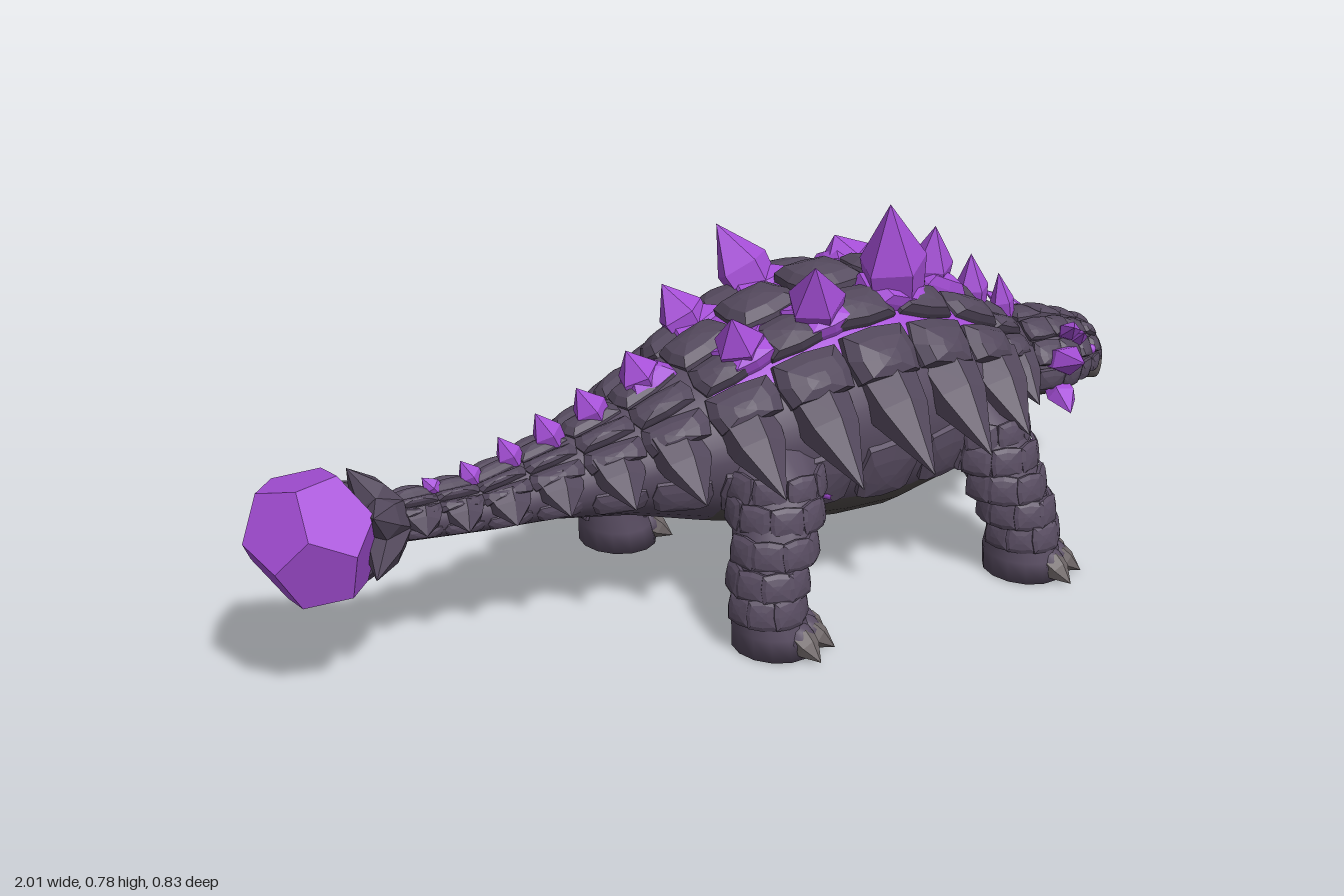
import * as THREE from 'three';

const mat = (name, color) => Object.assign(new THREE.MeshStandardMaterial({ color }), { name });
const V = (x, y, z) => new THREE.Vector3(x, y, z);

// cross-sections along x: [x, bottom, widest height, top, half width]
const BODY = [
  [-0.82, .28, .32, .36, .04], [-0.7, .265, .31, .35, .045], [-0.55, .25, .3, .35, .06],
  [-0.4, .24, .31, .385, .085], [-0.25, .215, .33, .43, .135], [-0.1, .17, .35, .5, .195],
  [.05, .13, .37, .565, .24], [.2, .112, .38, .605, .262], [.32, .106, .38, .61, .262],
  [.45, .13, .37, .57, .24], [.56, .17, .35, .52, .2], [.65, .21, .34, .46, .14], [.75, .24, .335, .42, .09]];
const HEAD = [
  [.7, .26, .33, .42, .085], [.76, .245, .33, .43, .115], [.82, .24, .325, .425, .115],
  [.88, .243, .32, .405, .09], [.93, .25, .315, .383, .063], [.965, .262, .31, .358, .044], [.984, .272, .3, .335, .028]];
const BEAK = [
  [.93, .25, .3, .34, .05], [.955, .243, .3, .352, .04], [.975, .238, .295, .347, .031],
  [.99, .235, .285, .33, .022], [1, .25, .28, .308, .008]];

// point on a lofted surface; t is 0 on the ridge and PI under the belly
function surf(S, x, t) {
  let i = 0;
  while (i < S.length - 2 && S[i + 1][0] < x) i++;
  const k = (x - S[i][0]) / (S[i + 1][0] - S[i][0]);
  const [, b, m, top, w] = S[i].map((v, j) => v + (S[i + 1][j] - v) * k);
  const c = Math.cos(t), slope = c > 0 ? 1 - .08 * Math.sin(2 * t) ** 2 : 1;
  return V(x, m + (c > 0 ? top - m : m - b) * c, w * Math.sin(t) * slope);
}

// skin rings of points; pick(i, j) gives the material index of each face
function loft(rings, pick = () => 0) {
  const n = rings[0].length, pos = [], sets = [[], [], []];
  rings.forEach(r => r.forEach(p => pos.push(p.x, p.y, p.z)));
  for (let i = 0; i < rings.length - 1; i++) for (let j = 0; j < n; j++) {
    const a = i * n + j, b = i * n + (j + 1) % n;
    sets[pick(i, j)].push(a, b, a + n, b, b + n, a + n);
  }
  for (const [i, flip] of [[0, true], [rings.length - 1, false]]) {
    const c = rings[i].reduce((s, p) => s.add(p), V(0, 0, 0)).divideScalar(n);
    const ci = pos.push(c.x, c.y, c.z) / 3 - 1;
    for (let j = 0; j < n; j++) {
      const a = i * n + j, b = i * n + (j + 1) % n;
      sets[0].push(...(flip ? [ci, b, a] : [ci, a, b]));
    }
  }
  const g = new THREE.BufferGeometry();
  g.setAttribute('position', new THREE.Float32BufferAttribute(pos, 3));
  g.setIndex(sets.flat());
  let start = 0;
  sets.forEach((s, k) => { if (s.length) g.addGroup(start, s.length, k); start += s.length; });
  g.computeVertexNormals();
  return g;
}

function flat(g) {
  const f = g.index ? g.toNonIndexed() : g;
  f.computeVertexNormals();
  return f;
}

const lathe = (pts, n) => new THREE.LatheGeometry(pts.map(p => new THREE.Vector2(...p)), n);

// squarish domed plate whose peak leans sideways
function plateGeometry(lean) {
  const g = lathe([[1, -.6], [1, .15], [.72, .72], [.3, 1], [0, 1.08]], 8);
  const p = g.attributes.position;
  for (let i = 0; i < p.count; i++) {
    const x = p.getX(i), y = p.getY(i), z = p.getZ(i);
    const r = Math.hypot(x, z), q = r / (Math.max(Math.abs(x), Math.abs(z)) || 1);
    const s = 1 + (q - 1) * .6;
    p.setXYZ(i, x * s - Math.max(y, 0) * .12, y, z * s + lean * Math.max(y, 0) * .42);
  }
  return flat(g);
}

export function createModel() {
  const root = new THREE.Group();
  const skin = mat('dusk hide', 0x594d62);
  const armor = mat('armor plate', 0x54495d);
  const belly = mat('grey belly', 0x4f4a49);
  const claw = mat('horn grey', 0x6e6667);
  const crystal = mat('violet crystal', 0xa64fd8);
  const plates = { '-1': plateGeometry(-1), 0: plateGeometry(0), 1: plateGeometry(1) };
  const crystalGeo = flat(lathe([[.85, -.15], [1, .35], [0, 1]], 5));
  const spikeGeo = flat(lathe([[1, -.1], [.8, .35], [0, 1]], 6));

  const add = (name, geo, m, parent = root) => {
    const o = new THREE.Mesh(geo, m);
    o.name = name;
    parent.add(o);
    return o;
  };
  const group = name => {
    const g = new THREE.Group();
    g.name = name;
    root.add(g);
    return g;
  };
  // pointed piece from a base to a tip
  const spike = (name, geo, m, from, to, rx, rz, parent) => {
    const o = add(name, geo, m, parent), d = to.clone().sub(from);
    const y = d.clone().normalize();
    const z = V(1, 0, 0).cross(y).normalize(), x = y.clone().cross(z);
    o.quaternion.setFromRotationMatrix(new THREE.Matrix4().makeBasis(x, y, z));
    o.position.copy(from);
    o.scale.set(rx, d.length(), rz);
  };
  // plate lying on a lofted surface, dx long and dt wide
  const plate = (S, x, t, dx, dt, h, parent, m = armor, name = 'armorPlate') => {
    const p = surf(S, x, t), e = .01;
    const T = surf(S, x + e, t).sub(surf(S, x - e, t)).normalize();
    const D = surf(S, x, t + e).sub(surf(S, x, t - e)).divideScalar(2 * e);
    const N = D.clone().cross(T).normalize();
    const o = add(name, plates[Math.sign(t)], m, parent);
    o.quaternion.setFromRotationMatrix(new THREE.Matrix4().makeBasis(T, N, T.clone().cross(N)));
    o.position.copy(p);
    o.scale.set(dx * .53, h, D.length() * dt * .53);
  };

  // body, head and beak
  const n = 28;
  const rings = S => S.map(s => Array.from({ length: n }, (_, j) => surf(S, s[0], j / n * Math.PI * 2)));
  const under = (j, lim) => Math.abs((j + .5) / n * Math.PI * 2 - Math.PI) < lim;
  add('body', loft(rings(BODY), (i, j) => {
    if (i >= 5 && under(j, .85)) return 1;
    const t = (j + .5) / n * Math.PI * 2, a = Math.min(t, Math.PI * 2 - t);
    return i >= 5 && i <= 9 && a < .95 ? 2 : 0;
  }), [skin, belly, crystal]);
  add('head', loft(rings(HEAD), (i, j) => under(j, .9) ? 1 : 0), [skin, belly]);
  add('beak', loft(rings(BEAK)), [claw]);

  // rows of back armor: [x, length]
  const shell = group('backArmor'), fringe = group('sideSpikes');
  const columns = [[-.68, .08], [-.6, .085], [-.51, .095], [-.41, .105], [-.3, .115], [-.185, .125],
    [-.055, .135], [.085, .142], [.235, .146], [.39, .148], [.54, .142], [.66, .1]];
  for (const [x, len] of columns) {
    const w = surf(BODY, x, Math.PI / 2).z, h = .01 + w * .08;
    plate(BODY, x, 0, len, .5, h, shell);
    for (const s of [-1, 1]) {
      plate(BODY, x, s * .5, len, .42, h * 1.1, shell);
      plate(BODY, x, s * .98, len * 1.03, .44, h * 1.3, shell);
      plate(BODY, x, s * 1.95, len * .9, .45, h * .5, shell, skin);
      const a = surf(BODY, x, s * 1.25), b = surf(BODY, x, s * Math.PI / 2);
      a.z *= .88;
      spike('sideSpike', spikeGeo, armor, a, V(x - .01, b.y - .06 * w / .26, b.z * 1.51 + s * .005),
        len * .52, .02 + w * .17, fringe);
    }
  }

  // head plates, horns and eyes
  const face = group('headArmor');
  for (const [x, len] of [[.765, .07], [.825, .065], [.88, .055], [.93, .045]]) {
    plate(HEAD, x, 0, len, .6, .012, face);
    for (const s of [-1, 1]) {
      plate(HEAD, x, s * .6, len, .55, .013, face);
      plate(HEAD, x, s * 1.15, len, .5, .013, face);
      plate(HEAD, x, s * 1.75, len, .5, .01, face);
    }
  }
  for (const s of [-1, 1]) {
    for (const [a, b, r] of [
      [[.79, .35, .105], [.765, .378, .212], .04], [[.795, .283, .1], [.765, .255, .178], .033],
      [[.83, .395, .08], [.785, .435, .152], .025], [[.86, .37, .075], [.83, .41, .135], .02]])
      spike('cheekHorn', crystalGeo, crystal, V(a[0], a[1], a[2] * s), V(b[0], b[1], b[2] * s), r, r * .8, face);
    const eye = add('eye', new THREE.SphereGeometry(.011, 10, 8), crystal, face);
    eye.position.set(.897, .345, s * .085);
  }

  // back crystals: [base x, base angle, tip x, y, z, radius]
  const gems = group('backCrystals');
  const list = [[.345, .42, .3, .78, .14, .072], [.5, .06, .49, .68, .045, .05], [.63, 0, .615, .59, .01, .038],
    [.72, 0, .7, .53, 0, .027], [.37, -.38, .35, .645, -.11, .06], [-.18, 0, -.22, .54, 0, .044],
    [-.29, 0, -.33, .487, 0, .036], [-.385, 0, -.42, .455, 0, .031], [-.47, 0, -.5, .425, 0, .026],
    [-.555, 0, -.58, .395, 0, .023], [-.635, 0, -.66, .38, 0, .019]];
  for (const s of [-1, 1])
    list.push([.15, s * .46, .1, .695, s * .172, .06], [-.015, s * .46, -.06, .61, s * .125, .052]);
  for (const [x, t, tx, ty, tz, r] of list) {
    spike('backCrystal', crystalGeo, crystal, surf(BODY, x, t), V(tx, ty, tz), r, r * .92, gems);
    if (r > .04) plate(BODY, x + .01, t, r * 2.3, .46, .036, gems, crystal, 'crystalBase');
  }

  // tail club and its collar
  const club = add('tailClub', flat(new THREE.DodecahedronGeometry(.13)), crystal);
  club.position.set(-.882, .315, 0);
  club.rotation.set(.3, .2, 0);
  club.scale.set(.95, 1.02, 1.08);
  const collar = group('tailCollar');
  for (let i = 0; i < 6; i++) {
    const a = i / 6 * Math.PI * 2, c = Math.cos(a), s = Math.sin(a);
    spike('collarSpike', spikeGeo, armor, V(-.75, .312 + c * .035, s * .035),
      V(-.808, .312 + c * .122, s * .122), .045, .05, collar);
  }

  // legs: [y, centre x, centre z, radius x, radius z]
  const front = [[.38, .5, .14, .08, .07], [.29, .505, .205, .09, .095], [.21, .512, .258, .076, .082],
    [.13, .54, .285, .066, .075], [.08, .545, .288, .066, .078], [.045, .545, .292, .075, .088], [0, .55, .292, .078, .09]];
  const hind = [[.38, .01, .14, .1, .07], [.29, -.01, .205, .09, .095], [.21, -.05, .258, .08, .082],
    [.13, -.085, .285, .066, .073], [.08, -.088, .288, .066, .076], [.045, -.078, .292, .075, .086], [0, -.072, .292, .08, .09]];
  for (const [name, st] of [['frontLeg', front], ['hindLeg', hind]]) for (const s of [-1, 1]) {
    const leg = group(name);
    add('limb', loft(st.map(([y, cx, cz, rx, rz]) => Array.from({ length: 14 }, (_, j) => {
      const a = j / 14 * Math.PI * 2;
      return V(cx + rx * Math.cos(a), y, s * cz + rz * Math.sin(a));
    }))), [skin], leg);
    // overlapping hide plates on the outer side
    [.3, .255, .2, .145, .095].forEach((y, row) => {
      const i = st.findIndex(q => q[0] <= y), k = (y - st[i][0]) / (st[i - 1][0] - st[i][0]);
      const [, cx, cz, rx, rz] = st[i].map((v, j) => v + (st[i - 1][j] - v) * k);
      for (let q = 0; q < 6; q++) {
        const a = -.6 + (q + (row % 2) * .5) * .72;
        const o = add('legPlate', plates[0], skin, leg);
        const N = V(Math.cos(a), .15, s * Math.sin(a)).normalize();
        const T = V(0, 1, 0).cross(N).normalize();
        o.quaternion.setFromRotationMatrix(new THREE.Matrix4().makeBasis(T, N, T.clone().cross(N)));
        o.position.set(cx + rx * Math.cos(a), y, s * (cz + rz * Math.sin(a)));
        o.scale.set(.034, .009, .031);
      }
    });
    // glowing seam across the shoulder or hip
    const [, hx, hz, hr] = st[1];
    const seam = new THREE.CatmullRomCurve3([V(hx + hr + .006, .255, s * (hz + .055)),
      V(hx + hr + .008, .24, s * (hz + .01)), V(hx + hr - .002, .2, s * (hz - .015))]);
    add('legSeam', new THREE.TubeGeometry(seam, 10, .005, 6), crystal, leg);
    // toes and claws
    const fx = st[6][1];
    for (const deg of [-30, 6, 42, 78]) {
      const a = deg * Math.PI / 180, c = Math.cos(a), d = Math.sin(a) * s;
      const toe = add('toe', new THREE.SphereGeometry(1, 10, 8), skin, leg);
      toe.position.set(fx + c * .055, .034, s * .292 + d * .064);
      toe.scale.set(.034, .032, .034);
      spike('claw', spikeGeo, claw, V(fx + c * .068, .031, s * .292 + d * .078),
        V(fx + c * .113, .004, s * .292 + d * .127), .029, .03, leg);
    }
  }
  return root;
}
